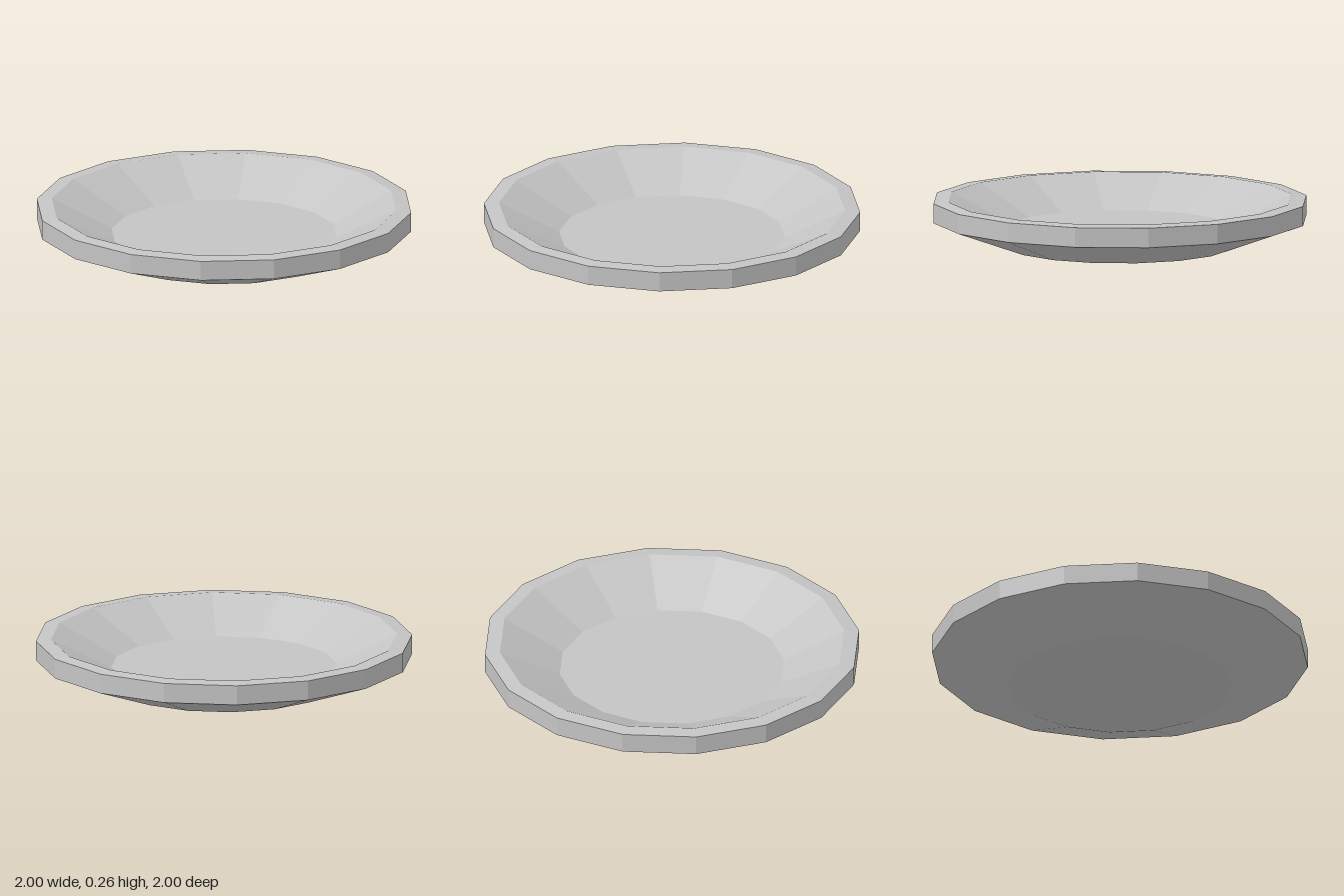
import * as THREE from 'three';

const SIDES = 16;

// Faceted surface of revolution from [radius, height] pairs
function facetedLathe(profile) {
  const points = profile.map(([r, y]) => new THREE.Vector2(r, y));
  const geometry = new THREE.LatheGeometry(points, SIDES).toNonIndexed();
  geometry.computeVertexNormals();
  return geometry;
}

export function createModel() {
  const group = new THREE.Group();
  group.name = 'plate';

  const glaze = new THREE.MeshStandardMaterial({ color: 0xc4c4c4 });
  glaze.name = 'pale grey glaze';

  const parts = {
    // Flat foot, sloping underside and upright outer band
    outerShell: [[0, 0], [0.6, 0], [1, 0.145], [1, 0.25]],
    // Narrow lip, rising slightly inwards
    rim: [[1, 0.25], [0.92, 0.257]],
    // Sloping inner wall and flat floor
    innerDish: [[0.92, 0.257], [0.6, 0.1], [0, 0.1]],
  };

  for (const [name, profile] of Object.entries(parts)) {
    const mesh = new THREE.Mesh(facetedLathe(profile), glaze);
    mesh.name = name;
    group.add(mesh);
  }
  return group;
}
